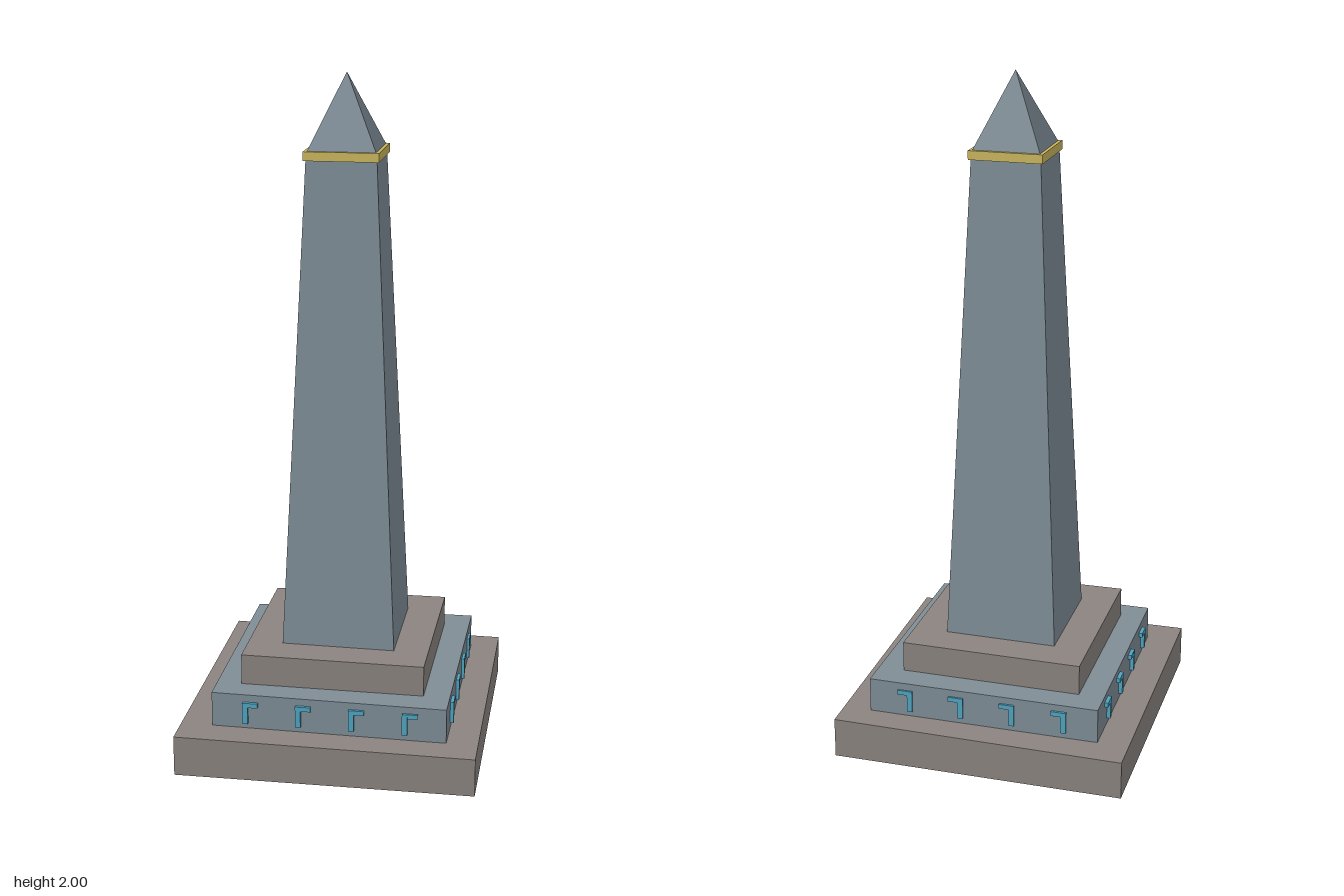
import * as THREE from 'three';

const stone = (name, color) => {
  const m = new THREE.MeshStandardMaterial({ color, flatShading: true });
  m.name = name;
  return m;
};

export function createModel() {
  const brown = stone('warm grey stone', 0x8b847f);
  const slate = stone('blue grey stone', 0x7f8d96);
  const gold = stone('gold', 0xcbb75e);
  const cyan = stone('glowing cyan', 0x4fa6c2);

  const model = new THREE.Group();
  model.name = 'obelisk';
  const add = (parent, name, geometry, material) => {
    const mesh = new THREE.Mesh(geometry, material);
    mesh.name = name;
    parent.add(mesh);
    return mesh;
  };

  // Slightly uneven slab; corners are [x, z] for back left, back right, front right, front left
  const slab = (name, y0, y1, corners, material) => {
    const g = new THREE.BoxGeometry(1, 1, 1);
    const p = g.attributes.position;
    for (let i = 0; i < p.count; i++) {
      const right = p.getX(i) > 0, front = p.getZ(i) > 0, top = p.getY(i) > 0;
      const k = front ? (right ? 2 : 3) : (right ? 1 : 0);
      const tilt = right === front ? 0.003 : 0;
      p.setXYZ(i, corners[k][0], top ? y1 - tilt : y0 + tilt, corners[k][1]);
    }
    g.computeVertexNormals();
    add(model, name, g, material);
  };
  slab('lowerStep', 0.004, 0.125, [[-0.44, -0.443], [0.435, -0.437], [0.44, 0.44], [-0.44, 0.442]], brown);
  slab('middleStep', 0.12, 0.23, [[-0.347, -0.35], [0.351, -0.353], [0.347, 0.351], [-0.346, 0.347]], slate);
  slab('upperStep', 0.224, 0.322, [[-0.271, -0.272], [0.272, -0.273], [0.27, 0.269], [-0.272, 0.273]], brown);

  // Four-sided tapering block given by half widths
  const taper = (name, bottom, top, y0, y1, material) => {
    const g = new THREE.CylinderGeometry(top * Math.SQRT2, bottom * Math.SQRT2, y1 - y0, 4);
    g.rotateY(Math.PI / 4).translate(0, (y0 + y1) / 2, 0);
    add(model, name, g, material);
  };
  taper('shaft', 0.168, 0.101, 0.318, 1.775, slate);
  taper('goldBand', 0.108, 0.108, 1.761, 1.787, gold);
  taper('pointedCap', 0.098, 0, 1.787, 2, slate);

  // Angular carvings on the middle step; opposite sides mirror each other
  for (const [side, turn] of [['front', 0], ['right', Math.PI / 2]]) {
    for (const dir of [1, -1]) {
      const row = new THREE.Group();
      row.name = side + (dir > 0 ? 'Carvings' : 'OppositeCarvings');
      row.rotation.y = turn;
      for (let i = 0; i < 4; i++) {
        const x = -0.231 + i * 0.157;
        const upright = add(row, 'carvingUpright', new THREE.BoxGeometry(0.016, 0.066, 0.016), cyan);
        upright.position.set(x - 0.014, 0.174, dir * 0.35);
        const arm = add(row, 'carvingArm', new THREE.BoxGeometry(0.045, 0.014, 0.015), cyan);
        arm.position.set(x + 0.001, 0.2, dir * 0.35);
      }
      model.add(row);
    }
  }
  return model;
}
